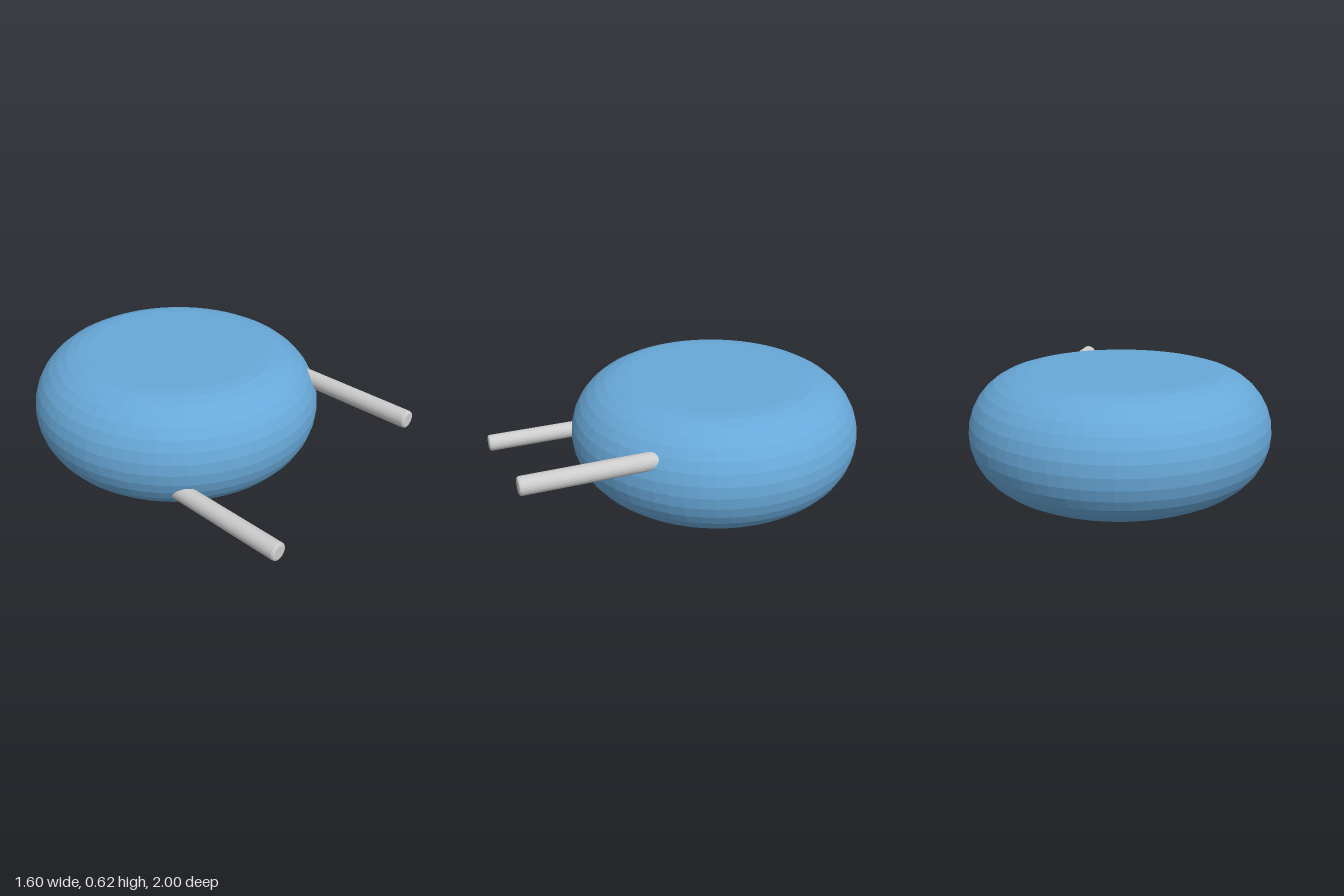
import * as THREE from 'three';

const RADIUS = 0.8, HEIGHT = 0.625, CENTRE_Z = -0.2;

// Rounded disc: flat top and bottom joined by a half-round rim
function makeBody() {
  const r = HEIGHT / 2, steps = 16;
  const profile = [new THREE.Vector2(0, 0)];
  for (let i = 0; i <= steps; i++) {
    const a = -Math.PI / 2 + (Math.PI * i) / steps;
    profile.push(new THREE.Vector2(RADIUS - r + r * Math.cos(a), r + r * Math.sin(a)));
  }
  profile.push(new THREE.Vector2(0, HEIGHT));
  const body = new THREE.Mesh(
    new THREE.LatheGeometry(profile, 64),
    new THREE.MeshStandardMaterial({ color: 0x68a8d8, flatShading: true })
  );
  body.name = 'body';
  body.position.z = CENTRE_Z;
  return body;
}

// Straight rod along z with softly bevelled ends, set into the body
function makeRod(name, x, y) {
  const r = 0.047, bevel = 0.012, back = 0.2, front = 1;
  const profile = [
    [0, back], [r - bevel, back], [r - bevel * 0.3, back + bevel * 0.3], [r, back + bevel],
    [r, front - bevel], [r - bevel * 0.3, front - bevel * 0.3], [r - bevel, front], [0, front]
  ].map(([px, py]) => new THREE.Vector2(px, py));
  const rod = new THREE.Mesh(
    new THREE.LatheGeometry(profile, 24).rotateX(Math.PI / 2),
    new THREE.MeshStandardMaterial({ color: 0xcccccc, flatShading: true })
  );
  rod.name = name;
  rod.position.set(x, y, 0);
  return rod;
}

export function createModel() {
  const model = new THREE.Group();
  model.name = 'roundedDiscWithRods';
  model.add(makeBody(), makeRod('leftUpperRod', 0.5, 0.45), makeRod('rightLowerRod', -0.5, 0.18));
  return model;
}
